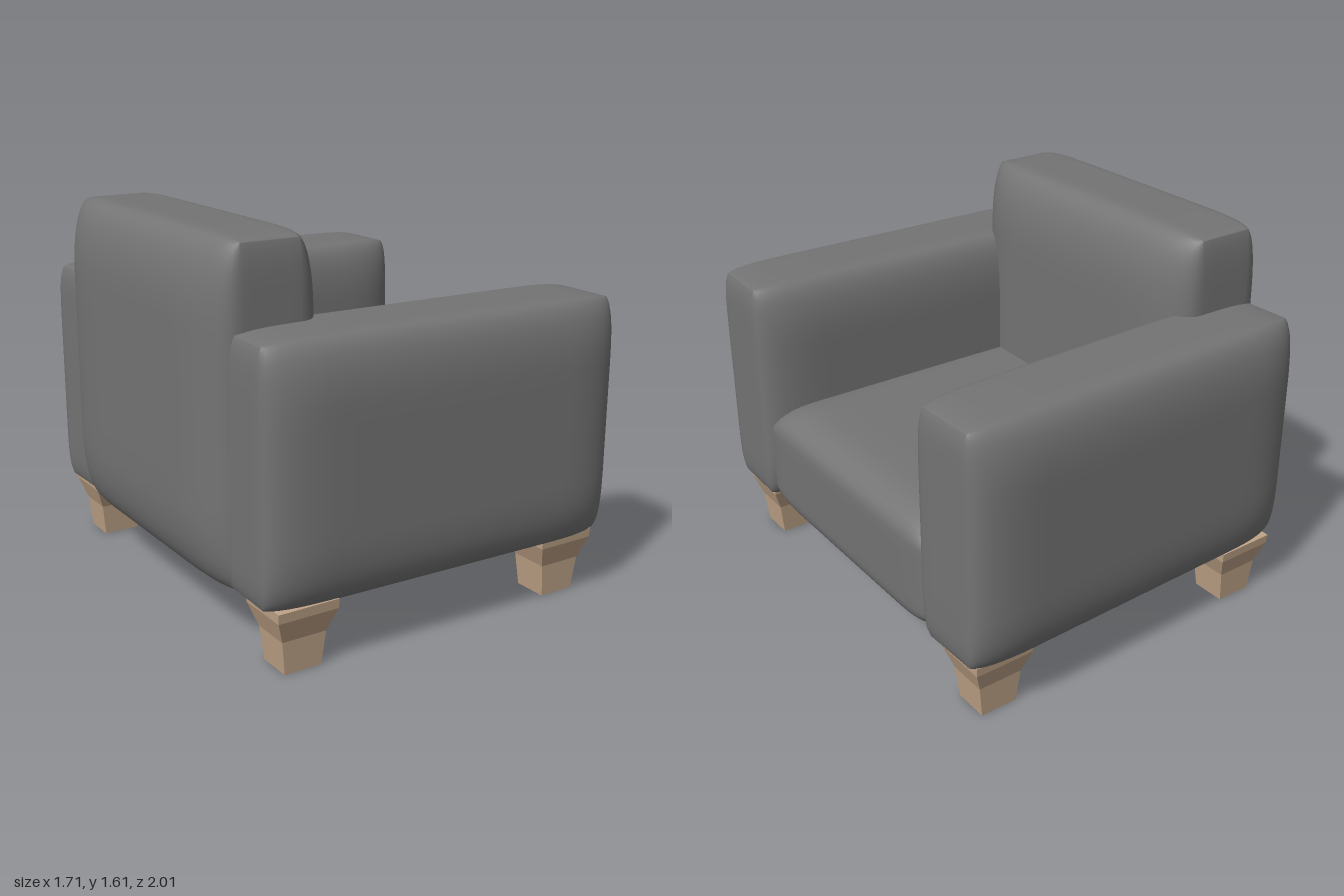
import * as THREE from 'three';
import { mergeVertices } from 'three/addons/utils/BufferGeometryUtils.js';

const fabric = new THREE.MeshStandardMaterial({ color: 0x747474 });
fabric.name = 'grey fabric';
const wood = new THREE.MeshStandardMaterial({ color: 0xc0a488 });
wood.name = 'light wood';

// Soft slab: crisp rectangle w x h, thickness t (along z) easing down by `drop` within `reach` of the rim
function cushionGeometry(w, h, t, drop, reach) {
  const geo = new THREE.BoxGeometry(2, 2, 2, 32, 32, 6);
  geo.deleteAttribute('uv');
  geo.deleteAttribute('normal');
  const ease = (d) => {
    const k = 1 - Math.min(1, Math.max(0, d) / reach);
    return Math.pow(1 - Math.pow(k, 2.3), 1 / 2.3);
  };
  const p = geo.attributes.position;
  for (let i = 0; i < p.count; i++) {
    const u = Math.sin(p.getX(i) * Math.PI / 2);
    const v = Math.sin(p.getY(i) * Math.PI / 2);
    const full = ease((1 - Math.abs(u)) * w / 2) * ease((1 - Math.abs(v)) * h / 2);
    p.setXYZ(i,
      u * (w / 2 - 0.018 * v ** 12),
      v * (h / 2 - 0.018 * u ** 12),
      p.getZ(i) * (t / 2 - drop + drop * full));
  }
  const smooth = mergeVertices(geo, 1e-4);
  smooth.computeVertexNormals();
  return smooth;
}

// Square block leg that flares towards the top; rings run from top to bottom
function legGeometry() {
  const rings = [[0.275, 0.132, 0.12], [0.235, 0.13, 0.116], [0.14, 0.096, 0.084], [0, 0.08, 0.074]];
  const geo = new THREE.BoxGeometry(2, 3, 2, 1, 3, 1);
  const p = geo.attributes.position;
  for (let i = 0; i < p.count; i++) {
    const [y, rx, rz] = rings[Math.round(1.5 - p.getY(i))];
    p.setXYZ(i, p.getX(i) * rx, y, p.getZ(i) * rz);
  }
  const flat = geo.toNonIndexed();
  flat.computeVertexNormals();
  return flat;
}

export function createModel() {
  const model = new THREE.Group();
  model.name = 'armchair';
  const add = (name, geo, mat, x, y, z) => {
    const mesh = new THREE.Mesh(geo, mat);
    mesh.name = name;
    mesh.position.set(x, y, z);
    model.add(mesh);
    return mesh;
  };

  // Seat cushion, lying flat
  const seat = add('seat', cushionGeometry(1.54, 1.28, 0.525, 0.12, 0.21), fabric, 0.07, 0.477, 0);
  seat.rotation.x = -Math.PI / 2;

  // Backrest, standing across the -x end
  const back = add('backrest', cushionGeometry(1.365, 1.355, 0.52, 0.14, 0.34), fabric, -0.595, 0.928, 0.005);
  back.rotation.y = Math.PI / 2;

  // Arms, toed out very slightly, and the legs under them
  const armGeo = cushionGeometry(1.62, 1.02, 0.462, 0.105, 0.28);
  const legGeo = legGeometry();
  for (const side of [1, -1]) {
    const label = side > 0 ? 'left' : 'right';
    const arm = add(label + 'Arm', armGeo, fabric, 0.04, 0.77, side * 0.762);
    arm.rotation.y = -side * 0.025;
    add(label + 'FrontLeg', legGeo, wood, 0.675, 0, side * 0.803);
    add(label + 'RearLeg', legGeo, wood, -0.59, 0, side * 0.803);
  }
  return model;
}
